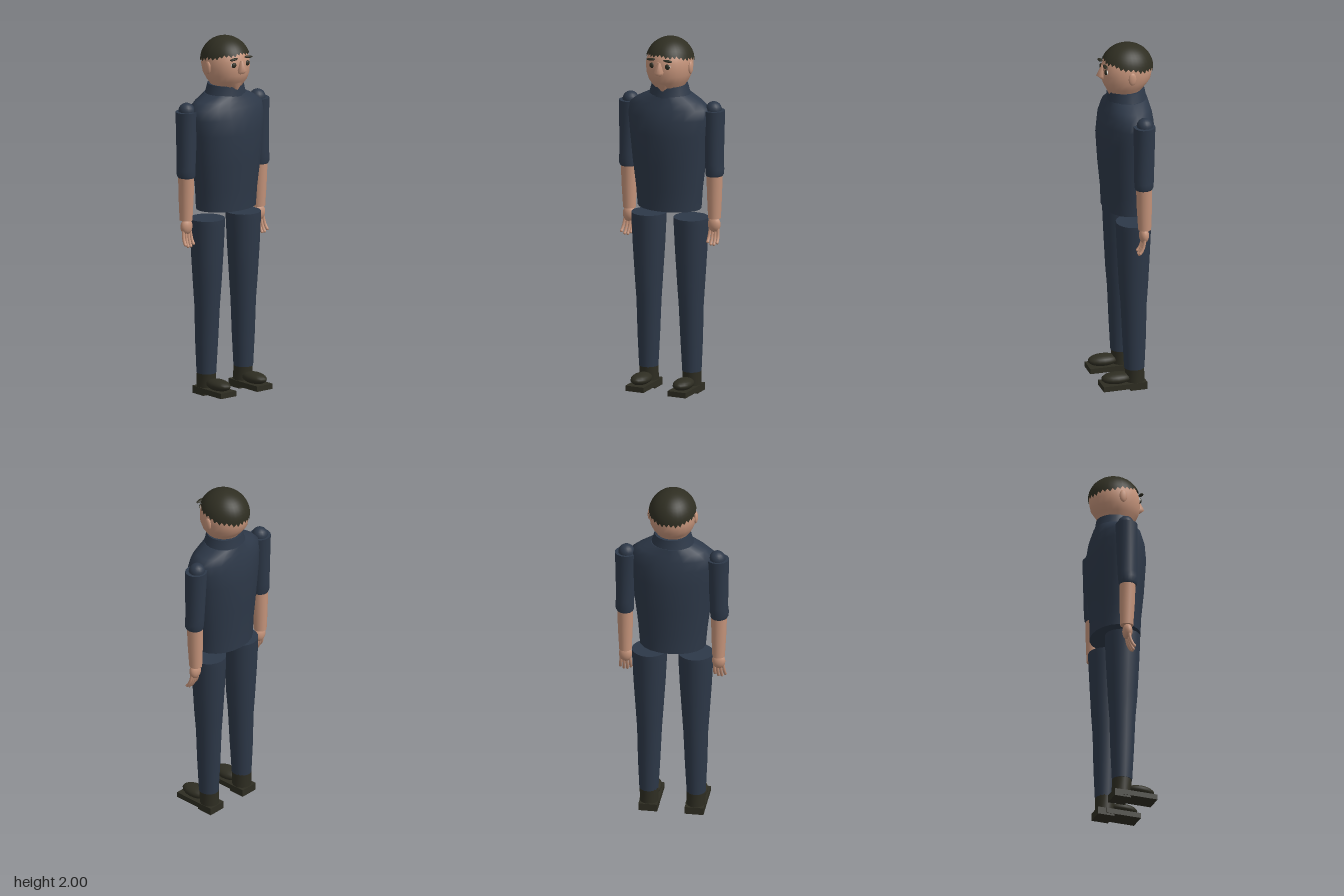
import * as THREE from 'three';

const mat = (name, color, side = THREE.FrontSide) => {
  const m = new THREE.MeshStandardMaterial({ color, side });
  m.name = name;
  return m;
};

// Closed solid through elliptical rings [y, cx, cz, rx, rz], listed bottom to top
function loft(rings, sides = 16) {
  const pos = [], idx = [];
  const addRing = ([y, cx, cz, rx, rz]) => {
    const start = pos.length / 3;
    for (let i = 0; i < sides; i++) {
      const a = (i / sides) * Math.PI * 2;
      pos.push(cx + rx * Math.cos(a), y, cz + rz * Math.sin(a));
    }
    return start;
  };
  const starts = rings.map(addRing);
  for (let r = 0; r < rings.length - 1; r++) {
    for (let i = 0; i < sides; i++) {
      const j = (i + 1) % sides, lo = starts[r], hi = starts[r + 1];
      idx.push(lo + i, hi + i, lo + j, lo + j, hi + i, hi + j);
    }
  }
  // Caps have their own vertices so the rims stay sharp
  [rings[0], rings[rings.length - 1]].forEach((ring, top) => {
    const s = addRing(ring), c = pos.length / 3;
    pos.push(ring[1], ring[0], ring[2]);
    for (let i = 0; i < sides; i++) {
      const j = (i + 1) % sides;
      if (top) idx.push(c, s + j, s + i);
      else idx.push(c, s + i, s + j);
    }
  });
  const g = new THREE.BufferGeometry();
  g.setAttribute('position', new THREE.Float32BufferAttribute(pos, 3));
  g.setIndex(idx);
  g.computeVertexNormals();
  return g;
}

// Hair cap: a dome whose lower rim drops from the forehead to the nape
function hairCap() {
  const g = new THREE.SphereGeometry(1, 32, 12);
  const p = g.attributes.position, uv = g.attributes.uv;
  for (let i = 0; i < p.count; i++) {
    const around = uv.getX(i) * Math.PI * 2;
    const front = Math.sin(around);
    const rim = 0.1 + 0.25 * front + 0.03 * Math.cos(around * 8);
    const polar = (1 - uv.getY(i)) * Math.acos(rim);
    p.setXYZ(i, -0.132 * Math.cos(around) * Math.sin(polar),
      1.865 + 0.135 * Math.cos(polar), -0.017 + 0.146 * front * Math.sin(polar));
  }
  g.computeVertexNormals();
  return g;
}

export function createModel() {
  const model = new THREE.Group();
  model.name = 'standingMan';
  const cloth = mat('navyCloth', 0x2d3848);
  const skin = mat('skin', 0xc4937a);
  const dark = mat('darkOlive', 0x2e2d22);
  const hairMat = mat('hair', 0x2f2e22, THREE.DoubleSide);
  const eyeWhite = mat('eyeWhite', 0xd8d4cc);

  const add = (parent, name, geometry, material, position = [0, 0, 0], scale = [1, 1, 1]) => {
    const m = new THREE.Mesh(geometry, material);
    m.name = name;
    m.position.set(...position);
    m.scale.set(...scale);
    parent.add(m);
    return m;
  };
  const ball = new THREE.SphereGeometry(1, 16, 12);

  // Shirt and collar
  add(model, 'torso', loft([
    [1.04, 0, -0.012, 0.183, 0.133],
    [1.15, 0, -0.01, 0.192, 0.135],
    [1.30, 0, -0.008, 0.211, 0.147],
    [1.47, 0, -0.008, 0.228, 0.157],
    [1.56, 0, -0.01, 0.24, 0.145],
    [1.615, 0, -0.015, 0.235, 0.13],
    [1.65, 0, -0.018, 0.19, 0.118],
    [1.685, 0, -0.02, 0.12, 0.108],
  ], 20), cloth);
  add(model, 'collar', loft([
    [1.66, 0, -0.018, 0.125, 0.112],
    [1.70, 0, -0.017, 0.111, 0.104],
    [1.737, 0, -0.016, 0.1, 0.099],
  ], 20), cloth);

  // Head
  add(model, 'head', loft([
    [1.70, 0, -0.01, 0.07, 0.08],
    [1.735, 0, -0.005, 0.088, 0.092],
    [1.765, 0, -0.006, 0.108, 0.116],
    [1.80, 0, -0.012, 0.122, 0.136],
    [1.84, 0, -0.015, 0.128, 0.141],
    [1.88, 0, -0.016, 0.126, 0.139],
    [1.92, 0, -0.017, 0.113, 0.124],
    [1.96, 0, -0.017, 0.08, 0.09],
  ], 24), skin);
  add(model, 'hair', hairCap(), hairMat);
  add(model, 'nose', loft([
    [1.812, 0, 0.118, 0.02, 0.016],
    [1.832, 0, 0.126, 0.028, 0.031],
    [1.885, 0, 0.118, 0.009, 0.012],
  ], 8), skin);
  add(model, 'chin', loft([
    [1.71, 0, 0.07, 0.012, 0.014],
    [1.75, 0, 0.075, 0.04, 0.026],
    [1.785, 0, 0.09, 0.045, 0.025],
  ], 12), skin);

  for (const s of [-1, 1]) {
    const side = s > 0 ? 'left' : 'right';

    // Face details
    add(model, side + 'Ear', ball, skin, [s * 0.128, 1.84, -0.012], [0.011, 0.036, 0.022]);
    add(model, side + 'EyeWhite', ball, eyeWhite, [s * 0.047, 1.864, 0.111], [0.017, 0.013, 0.008]);
    add(model, side + 'Eye', ball, dark, [s * 0.047, 1.864, 0.115], [0.015, 0.015, 0.009]);
    const brow = add(model, side + 'Brow', ball, dark, [s * 0.051, 1.899, 0.12], [0.027, 0.007, 0.011]);
    brow.rotation.z = -s * 0.08;

    // Sleeve
    const arm = new THREE.Group();
    arm.name = side + 'Arm';
    model.add(arm);
    add(arm, 'shoulder', ball, cloth, [s * 0.252, 1.61, -0.045], [0.045, 0.045, 0.045]);
    add(arm, 'sleeve', loft([
      [1.238, s * 0.26, -0.036, 0.046, 0.048],
      [1.25, s * 0.262, -0.036, 0.051, 0.052],
      [1.28, s * 0.262, -0.037, 0.052, 0.054],
      [1.31, s * 0.26, -0.038, 0.05, 0.055],
      [1.607, s * 0.254, -0.042, 0.062, 0.06],
    ]), cloth);

    // Forearm and hand
    add(arm, 'forearm', loft([
      [0.995, s * 0.258, -0.042, 0.035, 0.036],
      [1.12, s * 0.259, -0.04, 0.041, 0.042],
      [1.26, s * 0.26, -0.038, 0.045, 0.045],
    ]), skin);
    add(arm, 'palm', ball, skin, [s * 0.258, 0.96, -0.038], [0.037, 0.045, 0.027]);
    for (let i = 0; i < 4; i++) {
      const x = s * (0.23 + i * 0.019);
      const tip = i === 0 || i === 3 ? 0.857 : 0.846;
      const curve = new THREE.QuadraticBezierCurve3(
        new THREE.Vector3(s * 0.258 + (x - s * 0.258) * 0.8, 0.95, -0.036),
        new THREE.Vector3(x, 0.89, -0.034),
        new THREE.Vector3(x + s * 0.003, tip + 0.008, -0.008));
      add(arm, 'finger' + (i + 1), new THREE.TubeGeometry(curve, 6, 0.0085, 8), skin);
      add(arm, 'fingertip' + (i + 1), ball, skin, curve.v2.toArray(), [0.0085, 0.0085, 0.0085]);
    }

    // Trouser leg
    const leg = new THREE.Group();
    leg.name = side + 'Leg';
    model.add(leg);
    add(leg, 'trouserLeg', loft([
      [0.12, s * 0.131, -0.021, 0.053, 0.056],
      [0.30, s * 0.13, -0.02, 0.062, 0.065],
      [0.50, s * 0.128, -0.018, 0.069, 0.072],
      [0.62, s * 0.128, -0.017, 0.077, 0.081],
      [0.80, s * 0.128, -0.017, 0.089, 0.09],
      [0.96, s * 0.128, -0.017, 0.097, 0.097],
      [0.992, s * 0.128, -0.017, 0.097, 0.097],
    ], 20), cloth);

    // Shoe
    add(leg, 'ankle', loft([
      [0.03, s * 0.129, -0.025, 0.052, 0.053],
      [0.125, s * 0.13, -0.022, 0.052, 0.054],
    ]), dark);
    add(leg, 'shoeUpper', ball, dark, [s * 0.128, 0.067, 0.08], [0.052, 0.032, 0.086]);
    add(leg, 'sole', new THREE.BoxGeometry(0.109, 0.03, 0.2), dark, [s * 0.128, 0.027, 0.068]);
    add(leg, 'heel', new THREE.BoxGeometry(0.104, 0.042, 0.095), dark, [s * 0.128, 0.021, -0.034]);
  }
  return model;
}
